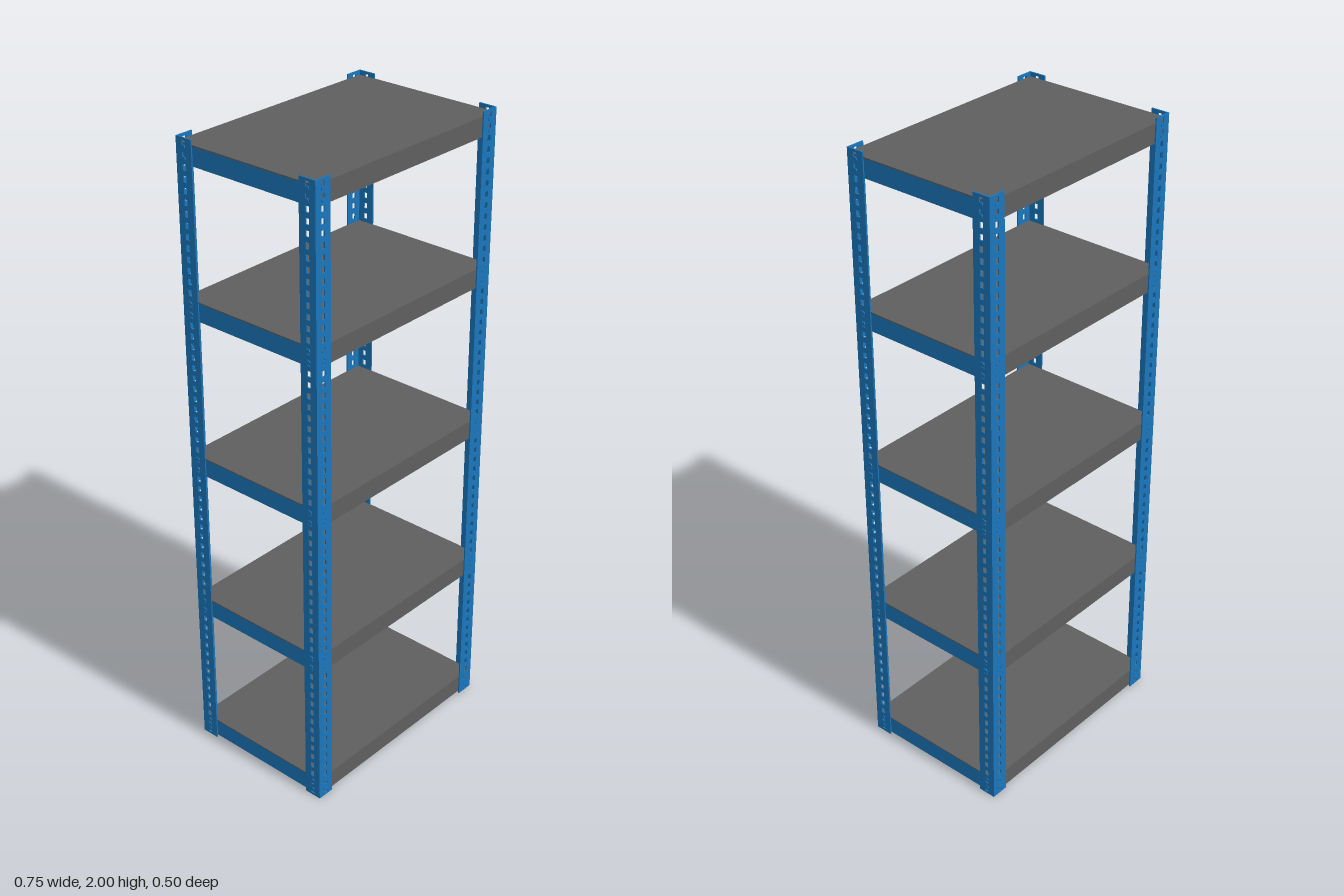
import * as THREE from 'three';

const HX = 0.373, HZ = 0.249;      // outer half width and half depth
const T = 0.004;                   // sheet thickness
const FLANGE = 0.057;              // post flange width
const SHELF_TOPS = [0.069, 0.53, 1.03, 1.53, 1.986];
const BEAM_H = 0.057;

export function createModel() {
  const blue = new THREE.MeshStandardMaterial({ color: 0x1a76bb });
  blue.name = 'blue steel';
  const grey = new THREE.MeshStandardMaterial({ color: 0x5f5f5f });
  grey.name = 'grey deck';

  const model = new THREE.Group();
  model.name = 'shelvingUnit';

  const add = (parent, name, geo, mat, x = 0, y = 0, z = 0) => {
    const m = new THREE.Mesh(geo, mat);
    m.name = name;
    m.position.set(x, y, z);
    parent.add(m);
    return m;
  };
  const box = (parent, name, mat, w, h, d, x, y, z) =>
    add(parent, name, new THREE.BoxGeometry(w, h, d), mat, x, y, z);

  // Slotted post flange, upright in the xy plane and centred on x
  const shape = new THREE.Shape();
  const rect = (path, w, y0, y1) => path.moveTo(-w, y0).lineTo(w, y0).lineTo(w, y1).lineTo(-w, y1).closePath();
  rect(shape, FLANGE / 2, 0, 2);
  const pitch = 2 / 60;
  for (let i = 0; i < 60; i++) {
    const y = (i + 0.5) * pitch;
    const hole = new THREE.Path();
    rect(hole, 0.006, y - 0.009, y + 0.009);
    shape.holes.push(hole);
  }
  const flangeGeo = new THREE.ExtrudeGeometry(shape, { depth: T, bevelEnabled: false });
  flangeGeo.translate(0, 0, -T / 2);
  const boltGeo = new THREE.CylinderGeometry(0.007, 0.007, 0.003, 10);

  // Four corner posts, each an L of two flanges with bolts at every shelf
  for (const sx of [-1, 1]) for (const sz of [-1, 1]) {
    const post = new THREE.Group();
    post.name = (sz > 0 ? 'front' : 'back') + (sx > 0 ? 'Left' : 'Right') + 'Post';
    model.add(post);
    const mx = sx * (HX - FLANGE / 2), mz = sz * (HZ - FLANGE / 2);
    add(post, 'wideFlange', flangeGeo, blue, mx, 0, sz * (HZ - T / 2));
    add(post, 'sideFlange', flangeGeo, blue, sx * (HX - T / 2), 0, mz).rotation.y = Math.PI / 2;
    for (const top of SHELF_TOPS) for (const dy of [-0.013, -0.046]) {
      add(post, 'bolt', boltGeo, blue, mx, top + dy, sz * (HZ + 0.0005)).rotation.x = Math.PI / 2;
      add(post, 'bolt', boltGeo, blue, sx * (HX + 0.0005), top + dy, mz).rotation.z = Math.PI / 2;
    }
  }

  // Shelves: folded deck, upright blue frame beams and a middle brace
  SHELF_TOPS.forEach((top, i) => {
    const shelf = new THREE.Group();
    shelf.name = 'shelf' + (i + 1);
    shelf.position.y = top;
    model.add(shelf);
    const ix = HX - T, iz = HZ - T;
    box(shelf, 'deck', grey, ix * 2 + 0.003, T, iz * 2 + 0.003, 0, -T / 2, 0);
    const yc = -T - BEAM_H / 2;
    for (const s of [-1, 1]) {
      box(shelf, 'deckLip', grey, ix * 2 - 0.002, BEAM_H, T / 2, 0, yc, s * (iz - T / 4));
      box(shelf, 'longBeam', blue, ix * 2 - 2 * T, BEAM_H, T, 0, yc, s * (iz - T));
      box(shelf, 'sideBeam', blue, T, BEAM_H, iz * 2 - T, s * (ix - T / 2), yc, 0);
    }
    box(shelf, 'middleBrace', blue, T, BEAM_H, iz * 2 - 3 * T, 0, yc, 0);
  });

  return model;
}
